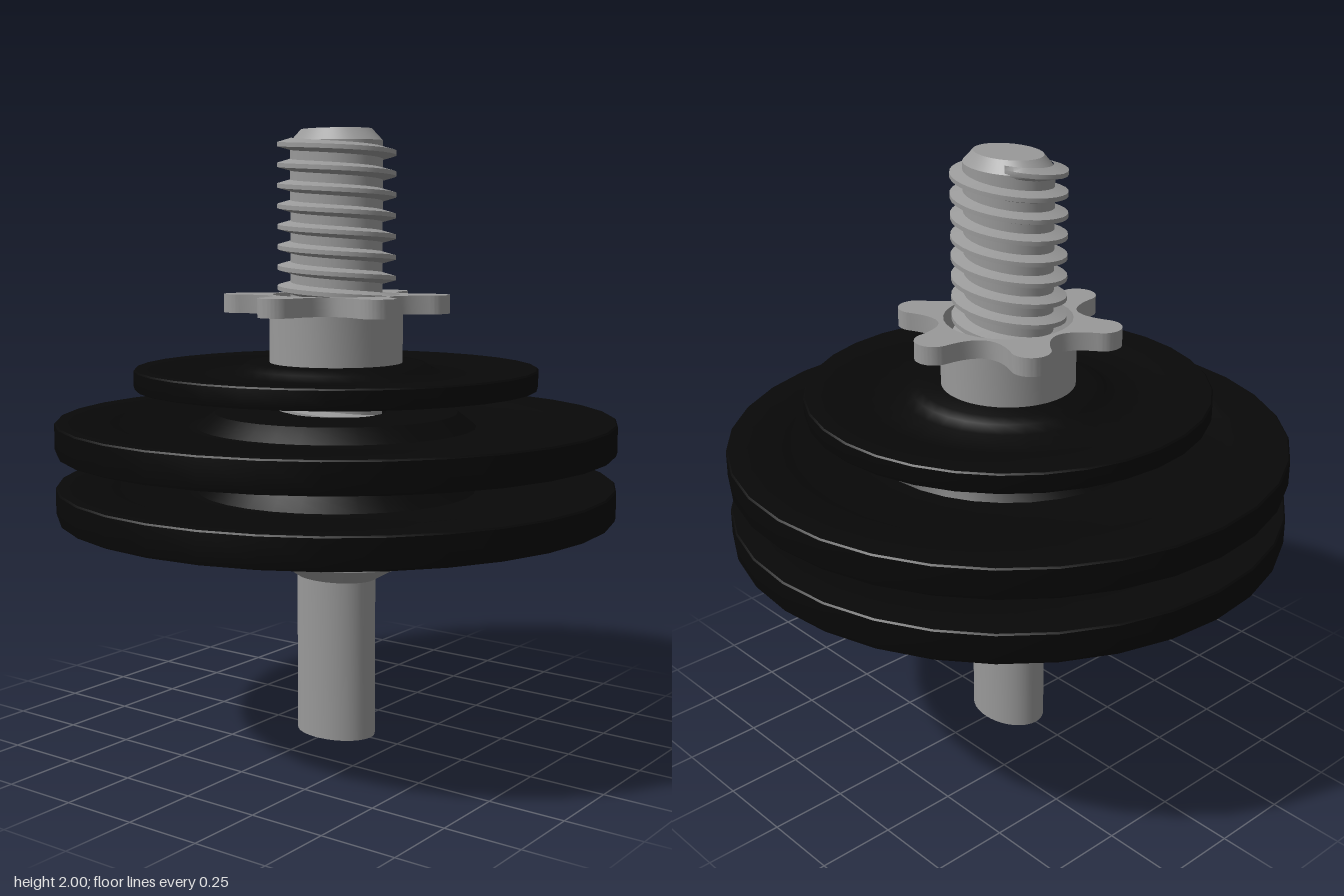
import * as THREE from 'three';
import { toCreasedNormals } from 'three/addons/utils/BufferGeometryUtils.js';

const FLAT = 0.74; // the shaft is oval: narrower in z than in x
const grey = new THREE.MeshStandardMaterial({ color: 0x999999 });
const greyOpen = new THREE.MeshStandardMaterial({ color: 0x999999, side: THREE.DoubleSide });
const black = new THREE.MeshStandardMaterial({ color: 0x080808 });

function addMesh(group, name, geometry, material) {
  const mesh = new THREE.Mesh(toCreasedNormals(geometry, 0.6), material);
  mesh.name = name;
  group.add(mesh);
  return mesh;
}

function lathe(points, segments = 32) {
  return new THREE.LatheGeometry(points.map(([r, y]) => new THREE.Vector2(r, y)), segments);
}

// Ridge swept along a helix: a trapezoid section, tapered out at both ends
function threadGeometry(y0, y1, pitch, phase) {
  const perTurn = 32;
  const start = Math.ceil((y0 - phase) / pitch * perTurn);
  const end = Math.floor((y1 - phase) / pitch * perTurn);
  const section = [[0.158, -0.02], [0.21, -0.007], [0.21, 0.007], [0.158, 0.02]];
  const pos = [], index = [];
  for (let i = start; i <= end; i++) {
    const a = i / perTurn * Math.PI * 2;
    const fade = Math.min(1, (i - start) / 6, (end - i) / 6);
    for (const [r, dy] of section) {
      const rad = 0.158 + (r - 0.158) * fade;
      pos.push(Math.cos(a) * rad, phase + pitch * i / perTurn + dy, Math.sin(a) * rad);
    }
    if (i === end) continue;
    const k = (i - start) * 4;
    for (let j = 0; j < 3; j++) {
      const p = k + j, q = p + 4;
      index.push(p, p + 1, q, p + 1, q + 1, q);
    }
  }
  const g = new THREE.BufferGeometry();
  g.setAttribute('position', new THREE.Float32BufferAttribute(pos, 3));
  g.setIndex(index);
  return g;
}

// Dished disc: thick rim, thin web, raised hub that is hollow underneath
function plateGeometry(radius, hub, height, rise) {
  const rim = radius * 0.8, top = height + rise, bore = 0.165;
  return lathe([
    [bore, top - 0.025], [hub - 0.02, top - 0.025], [hub + 0.04, height * 0.45],
    [rim - 0.05, height * 0.35], [rim, height * 0.1], [rim + 0.03, 0],
    [radius - 0.004, 0], [radius, 0.012], [radius, height - 0.005], [radius - 0.005, height],
    [rim + 0.03, height], [rim, height * 0.94], [rim - 0.05, height * 0.72],
    [hub + 0.06, height * 0.72], [hub + 0.025, height],
    [hub, top], [bore, top], [bore, top - 0.025],
  ]);
}

// Six round lobes joined by hollow curves, with a round bore
function starShape() {
  const shape = new THREE.Shape();
  for (let i = 0; i < 6; i++) {
    const a = Math.PI / 6 + i * Math.PI / 3, next = a + Math.PI / 3, mid = a + Math.PI / 6;
    shape.absarc(0.308 * Math.cos(a), 0.308 * Math.sin(a), 0.062, a - Math.PI / 2, a + Math.PI / 2);
    shape.quadraticCurveTo(
      0.155 * Math.cos(mid), 0.155 * Math.sin(mid),
      0.308 * Math.cos(next) + 0.062 * Math.sin(next), 0.308 * Math.sin(next) - 0.062 * Math.cos(next),
    );
  }
  shape.holes.push(new THREE.Path().absarc(0, 0, 0.207, 0, Math.PI * 2, true));
  return shape;
}

export function createModel() {
  const model = new THREE.Group();
  model.name = 'threadedBarWithPlates';

  // Oval shaft: hollow handle, flared collar, sleeve, thread core, chamfered tip
  const shaft = lathe([
    [0.142, 0], [0.142, 0.535], [0.24, 0.59], [0.24, 0.635], [0.205, 0.635],
    [0.205, 0.76], [0.163, 0.76], [0.163, 1.962], [0.125, 2], [0, 2],
  ], 48);
  addMesh(model, 'shaft', shaft.scale(1, 1, FLAT), greyOpen);
  addMesh(model, 'screwThread', threadGeometry(0.77, 1.972, 0.066, 1.861).scale(1, 1, FLAT), grey);

  // Two large plates and a small one
  const plates = [
    ['lowerPlate', 0.76, 0.915, 0.4, 0.1, 0.022],
    ['middlePlate', 0.97, 0.915, 0.4, 0.1, 0.018],
    ['upperPlate', 1.17, 0.66, 0.29, 0.065, 0.016],
  ];
  for (const [name, y, radius, hub, height, rise] of plates) {
    addMesh(model, name, plateGeometry(radius, hub, height, rise), black).position.y = y;
  }

  // Hand nut: hollow sleeve topped by a six-lobed star
  const nut = new THREE.Group();
  nut.name = 'starNut';
  addMesh(nut, 'nutSleeve', lathe([
    [0.207, 1.25], [0.218, 1.25], [0.218, 1.46], [0.207, 1.46], [0.207, 1.25],
  ], 48), grey);
  const star = new THREE.ExtrudeGeometry(starShape(), { depth: 0.06, bevelEnabled: false, curveSegments: 16 });
  addMesh(nut, 'nutStar', star.rotateX(-Math.PI / 2).translate(0, 1.412, 0), grey);
  model.add(nut);

  return model;
}
